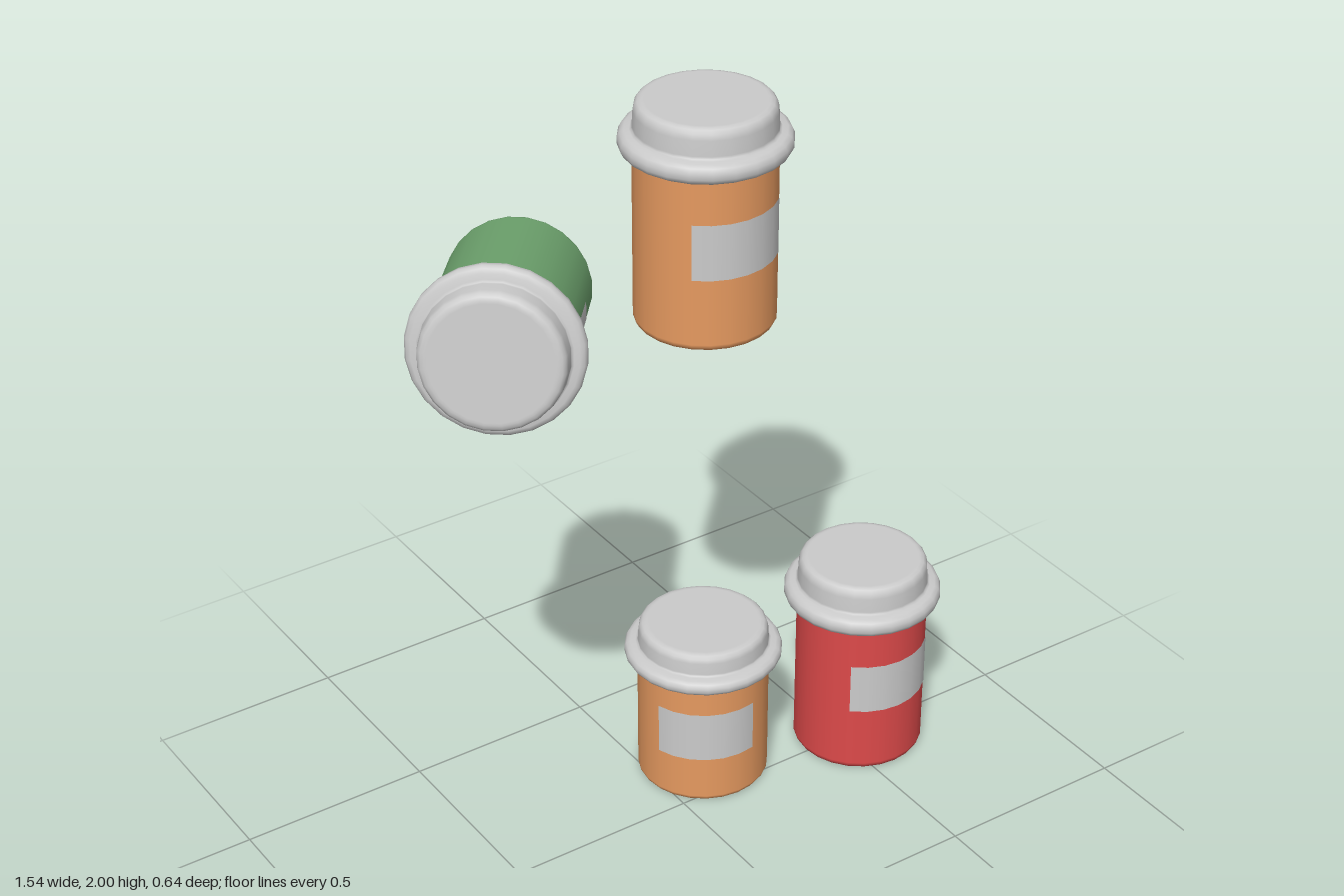
import * as THREE from 'three';

const SIDES = 24;
const R = 0.17;
const deg = THREE.MathUtils.degToRad;

const grey = new THREE.MeshStandardMaterial({ color: 0xcccccc });
const labelGrey = new THREE.MeshStandardMaterial({ color: 0xcccccc, side: THREE.DoubleSide });
const orange = new THREE.MeshStandardMaterial({ color: 0xe69a60 });
const red = new THREE.MeshStandardMaterial({ color: 0xdd4a4a });
const green = new THREE.MeshStandardMaterial({ color: 0x6fa56f });

// Revolved part; points are [radius, height] from bottom to top
function lathe(name, points, material, start = 0, length = Math.PI * 2) {
  const profile = points.map(([r, y]) => new THREE.Vector2(r, y));
  const segments = Math.round(SIDES * length / (Math.PI * 2));
  const mesh = new THREE.Mesh(new THREE.LatheGeometry(profile, segments, start, length), material);
  mesh.name = name;
  return mesh;
}

// One bottle standing on its own origin, label facing +z; k shortens body and lid
function bottle(name, material, k, labelBottom) {
  const group = new THREE.Group();
  group.name = name;

  // Body with a small rounded bottom edge, reaching up inside the lid
  group.add(lathe('body', [
    [0, 0], [R - 0.018, 0], [R - 0.014, 0], [R - 0.005, 0.004 * k], [R, 0.013 * k],
    [R, 0.018 * k], [R, 0.47 * k],
  ], material));

  // Lid: bulging rim, narrow groove, then a tapered cap with a rounded top edge
  group.add(lathe('lid', [
    [R - 0.01, 0.446], [0.188, 0.443], [0.198, 0.449], [0.2035, 0.46], [0.2035, 0.474],
    [0.198, 0.486], [0.188, 0.492], [0.175, 0.493], [0.17, 0.496], [0.169, 0.502],
    [0.167, 0.54], [0.164, 0.554], [0.157, 0.562], [0.148, 0.565], [0.142, 0.565], [0, 0.565],
  ].map(([r, y]) => [r, y * k]), grey));

  // Curved label covering a quarter of the body
  group.add(lathe('label', [
    [R + 0.0015, labelBottom], [R + 0.0015, labelBottom + 0.142],
  ], labelGrey, -Math.PI / 4, Math.PI / 2));

  return group;
}

export function createModel() {
  const model = new THREE.Group();
  model.name = 'bottles';

  // Tall bottles: one raised, one on the ground
  const upper = bottle('upperOrangeBottle', orange, 1, 0.188);
  upper.position.set(0.06, 1.435, 0);

  const lower = bottle('redBottle', red, 1, 0.188);
  lower.position.set(0.56, 0, 0);

  // Short bottle turned to its right
  const short = bottle('shortOrangeBottle', orange, 0.805, 0.134);
  short.position.set(0.143, 0, -0.121);
  short.rotation.y = deg(-31);

  // Short bottle lying in the air, lid towards the front
  const tilted = bottle('tiltedGreenBottle', green, 0.805, 0.134);
  tilted.rotation.y = deg(53);
  const tilt = new THREE.Group();
  tilt.name = 'tiltedBottle';
  tilt.rotation.set(deg(83.3), deg(-39.2), 0, 'YXZ');
  tilt.position.set(-0.365, 1.592, -0.134);
  tilt.add(tilted);

  model.add(upper, lower, short, tilt);
  return model;
}
